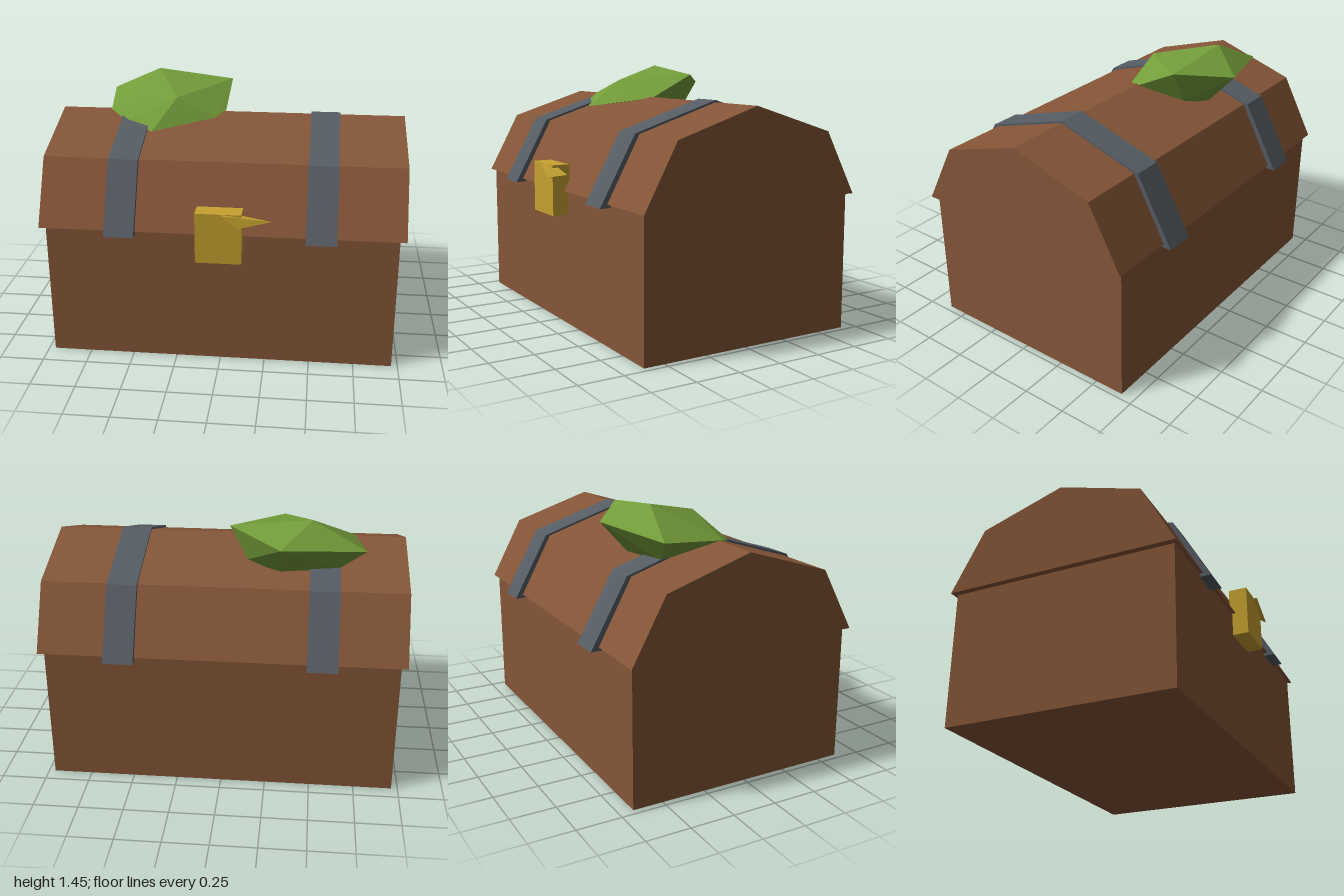
import * as THREE from 'three';
import { ConvexGeometry } from 'three/addons/geometries/ConvexGeometry.js';

const flat = (name, color) => {
  const m = new THREE.MeshStandardMaterial({ color, flatShading: true });
  m.name = name;
  return m;
};

// Extrudes a [z, y] profile along x, from x0 over the given width
function extrudeAlongX(profile, x0, width) {
  const shape = new THREE.Shape(profile.map(([z, y]) => new THREE.Vector2(-z, y)));
  const g = new THREE.ExtrudeGeometry(shape, { depth: width, bevelEnabled: false });
  return g.rotateY(Math.PI / 2).translate(x0, 0, 0);
}

const hull = (points) => new ConvexGeometry(points.map((p) => new THREE.Vector3(...p)));

export function createModel() {
  const model = new THREE.Group();
  model.name = 'chest';
  const wood = flat('brown wood', 0x855638);
  const iron = flat('grey iron', 0x555c63);
  const brass = flat('yellow brass', 0xc6a230);
  const green = flat('green gem', 0x739c3a);

  const add = (name, geometry, material) => {
    const mesh = new THREE.Mesh(geometry, material);
    mesh.name = name;
    model.add(mesh);
    return mesh;
  };

  // Box body
  add('body', new THREE.BoxGeometry(1.93, 0.77, 1.29), wood).position.set(0, 0.385, -0.025);

  // Faceted lid, overhanging the body
  const lid = [[0.64, 0.77], [0.45, 1.12], [-0.025, 1.27], [-0.5, 1.12], [-0.69, 0.77]];
  add('lid', extrudeAlongX(lid, -1, 2), wood);

  // Two bands wrapped over the lid
  const band = [[0.683, 0.75], [0.475, 1.125], [-0.025, 1.282], [-0.525, 1.125], [-0.735, 0.75]];
  for (const [name, x] of [['rightBand', -0.548], ['leftBand', 0.548]]) {
    add(name, extrudeAlongX(band, x - 0.083, 0.166), iron);
  }

  // Lock with a pointed latch on its side
  add('lock', new THREE.BoxGeometry(0.25, 0.285, 0.104), brass).position.set(0, 0.7775, 0.658);
  add('latchSpike', hull([
    [0.285, 0.885, 0.697],
    [0.1, 0.85, 0.732], [0.02, 0.919, 0.728],
    [0.1, 0.85, 0.664], [0.02, 0.919, 0.664],
  ]), brass);

  // Rough gem half sunk into the lid
  add('gem', hull([
    [-0.47, 1.45, -0.305], [-0.765, 1.305, -0.38], [-0.305, 1.345, -0.52],
    [-0.02, 1.4, -0.29], [-0.31, 1.365, 0.05], [-0.71, 1.27, 0],
    [-0.6, 1.235, 0.11], [-0.44, 1.2, 0.195], [-0.09, 1.25, 0.05],
    [-0.035, 1.27, -0.04], [-0.12, 1.21, -0.3], [-0.3, 1.15, -0.34],
    [-0.62, 1.18, -0.32], [-0.4, 1.13, -0.1],
  ]), green);

  return model;
}
